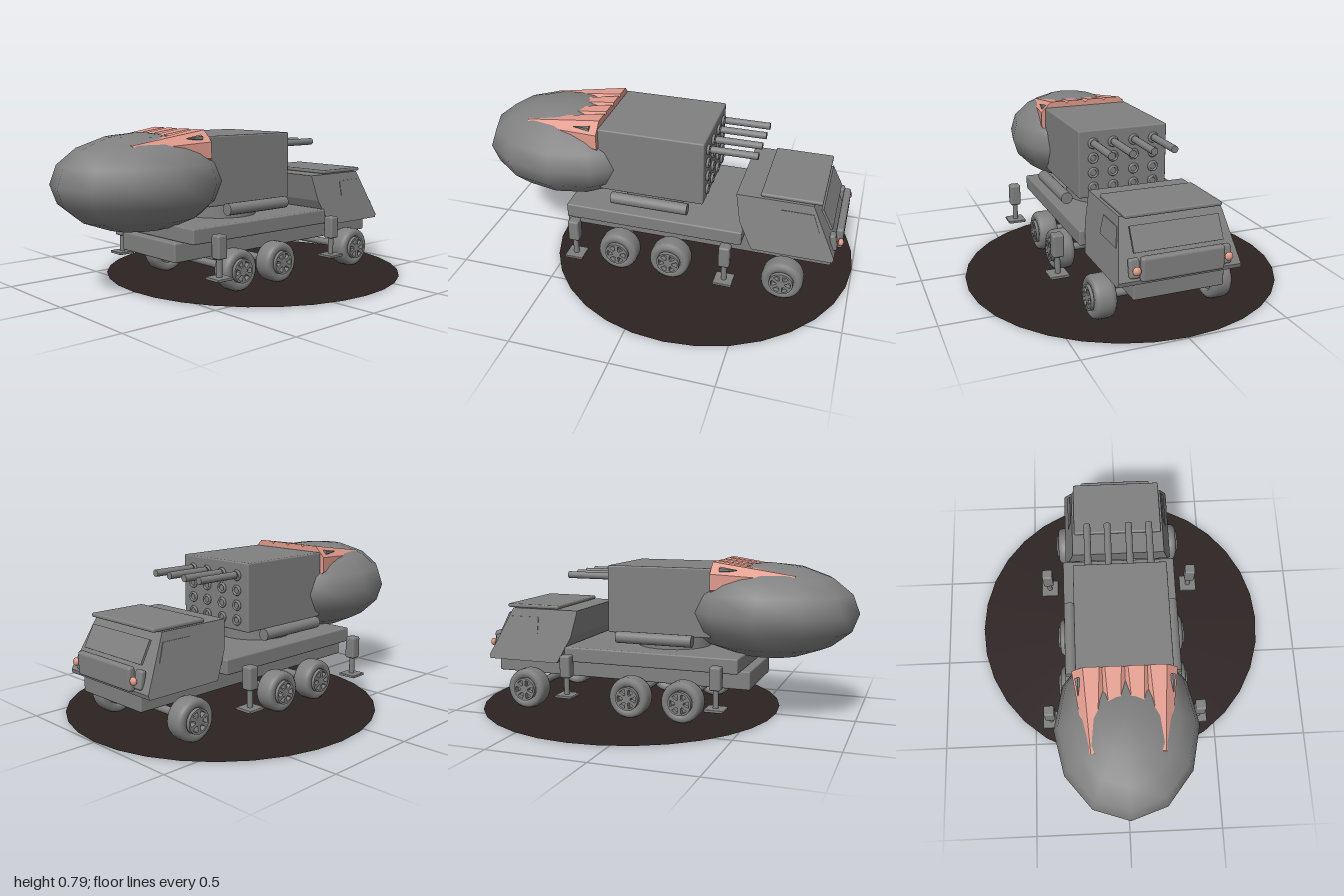
import * as THREE from 'three';
import { RoundedBoxGeometry } from 'three/addons/geometries/RoundedBoxGeometry.js';

export function createModel() {
  const model = new THREE.Group();
  const paint = new THREE.MeshStandardMaterial({ color: 0x808080 });
  paint.name = 'grey paint';
  const salmon = new THREE.MeshStandardMaterial({ color: 0xe09a8c });
  salmon.name = 'salmon';
  const ground = new THREE.MeshStandardMaterial({ color: 0x2c2222, side: THREE.DoubleSide });
  ground.name = 'dark base';

  const add = (name, geometry, material, x = 0, y = 0, z = 0, parent = model) => {
    const mesh = new THREE.Mesh(geometry, material);
    mesh.name = name;
    mesh.position.set(x, y, z);
    parent.add(mesh);
    return mesh;
  };
  // Box given by its limits in x and y and its half width in z
  const box = (name, x0, x1, y0, y1, hz, r = 0.008) =>
    add(name, new RoundedBoxGeometry(x1 - x0, y1 - y0, hz * 2, 2, r), paint, (x0 + x1) / 2, (y0 + y1) / 2, 0);
  // Cylinder lying along x, r0 at its rear end and r1 at its front end
  const tubeX = (r0, r1, length, sides = 16) =>
    new THREE.CylinderGeometry(r0, r1, length, sides).rotateY(Math.PI / sides).rotateZ(Math.PI / 2);
  const flat = (geometry) => {
    const g = geometry.toNonIndexed();
    g.computeVertexNormals();
    return g;
  };
  const polygon = (points) => new THREE.Shape(points.map(([x, y]) => new THREE.Vector2(x, y)));

  // Round base
  add('baseDisc', new THREE.CircleGeometry(0.8, 32).rotateX(-Math.PI / 2), ground, 0.2, 0.005, 0);

  // Chassis and deck
  box('chassis', -0.51, 0.895, 0.17, 0.265, 0.22);
  box('deck', -0.47, 0.455, 0.265, 0.342, 0.31);

  // Cab: side profile extruded, then narrowed towards the roof
  const cabHalf = (y) => 0.3 - (y - 0.25) * 0.2;
  const cabGeo = new THREE.ExtrudeGeometry(
    polygon([[0.505, 0.25], [0.905, 0.25], [0.91, 0.27], [0.785, 0.523], [0.408, 0.523], [0.435, 0.385]]),
    { depth: 1, bevelEnabled: false });
  const cp = cabGeo.attributes.position;
  for (let i = 0; i < cp.count; i++) cp.setZ(i, (cp.getZ(i) > 0.5 ? 1 : -1) * cabHalf(cp.getY(i)));
  cabGeo.computeVertexNormals();
  add('cab', cabGeo, paint);
  box('roofPlate', 0.525, 0.825, 0.523, 0.543, 0.235);
  const screen = add('windscreen', new THREE.BoxGeometry(0.012, 0.118, 0.43), paint, 0.852, 0.438, 0);
  screen.rotation.z = Math.atan2(0.055, 0.105);
  box('grille', 0.9, 0.938, 0.268, 0.383, 0.2, 0.015);

  for (const s of [1, -1]) {
    // Side window, leaning with the cab wall
    const windowGeo = new THREE.ExtrudeGeometry(
      polygon([[0.63, 0.395], [0.825, 0.395], [0.79, 0.48], [0.63, 0.48]]),
      { depth: 0.006, bevelEnabled: false });
    const wp = windowGeo.attributes.position;
    for (let i = 0; i < wp.count; i++) wp.setZ(i, wp.getZ(i) - 0.003 + s * cabHalf(wp.getY(i)));
    windowGeo.computeVertexNormals();
    add('sideWindow', windowGeo, paint);

    add('headlight', new THREE.SphereGeometry(0.02, 12, 8).scale(0.7, 1, 1), salmon, 0.93, 0.325, s * 0.22);
    const lamp = add('headlightHousing', new RoundedBoxGeometry(0.03, 0.09, 0.05, 2, 0.012), paint, 0.895, 0.325, s * 0.22);
    lamp.rotation.z = 0.2;

    // Side cylinder below the launcher
    add('sideCylinder', tubeX(0.03, 0.03, 0.4), paint, -0.03, 0.407, s * 0.275);

    // Outriggers
    for (const x of [-0.39, 0.395]) {
      const leg = new THREE.Group();
      leg.name = 'outrigger';
      leg.position.set(x, 0, s * 0.402);
      model.add(leg);
      add('outriggerSleeve', new RoundedBoxGeometry(0.056, 0.115, 0.056, 2, 0.01), paint, 0, 0.264, 0, leg);
      add('outriggerRod', new THREE.CylinderGeometry(0.014, 0.014, 0.1, 12), paint, 0, 0.16, 0, leg);
      add('outriggerPad', new RoundedBoxGeometry(0.095, 0.014, 0.095, 1, 0.004), paint, 0, 0.113, 0, leg);
    }
  }

  // Wheels: rounded tyre with a pierced rim standing slightly proud
  const profile = [[0.058, -0.035], [0.065, -0.05], [0.088, -0.052], [0.1, -0.042], [0.105, -0.025],
    [0.105, 0.025], [0.1, 0.042], [0.088, 0.052], [0.065, 0.05], [0.058, 0.035]];
  const tyreGeo = new THREE.LatheGeometry(profile.map(([r, y]) => new THREE.Vector2(r, y)), 28).rotateX(Math.PI / 2);
  const rimShape = new THREE.Shape().absarc(0, 0, 0.06, 0, Math.PI * 2);
  for (let i = 0; i < 6; i++) {
    const a = i * Math.PI / 3, hole = new THREE.Path();
    hole.absarc(0, 0, 0.05, a - 0.33, a + 0.33, false);
    hole.absarc(0, 0, 0.022, a + 0.2, a - 0.2, true);
    hole.closePath();
    rimShape.holes.push(hole);
  }
  const rimGeo = new THREE.ExtrudeGeometry(rimShape, { depth: 0.03, bevelEnabled: false, curveSegments: 24 });
  for (const x of [-0.19, 0.09, 0.673]) for (const s of [1, -1]) {
    const wheel = new THREE.Group();
    wheel.name = 'wheel';
    wheel.position.set(x, 0.107, s * 0.292);
    if (s < 0) wheel.rotation.y = Math.PI;
    model.add(wheel);
    add('tyre', tyreGeo, paint, 0, 0, 0, wheel);
    add('rim', rimGeo, paint, 0, 0, 0.033, wheel);
    add('hub', new THREE.CylinderGeometry(0.059, 0.059, 0.075, 24).rotateX(Math.PI / 2), paint, 0, 0, 0, wheel);
  }
  for (const x of [-0.19, 0.09, 0.673])
    add('axle', new THREE.CylinderGeometry(0.02, 0.02, 0.52, 12).rotateX(Math.PI / 2), paint, x, 0.107, 0);

  // Turntable and launcher box
  add('turntable', new THREE.CylinderGeometry(0.197, 0.197, 0.09, 32), paint, -0.048, 0.38, 0);
  box('launcherBox', -0.31, 0.238, 0.42, 0.765, 0.235);

  // Muzzles, top row rockets and rear flame cones
  for (const z of [-0.16, -0.055, 0.055, 0.16]) {
    for (const y of [0.7, 0.625, 0.55, 0.475]) {
      const muzzle = add('muzzleRing', new THREE.TorusGeometry(0.021, 0.007, 6, 16).rotateY(Math.PI / 2), paint, 0.243, y, z);
      muzzle.scale.x = 1.2;
      add('muzzle', tubeX(0.021, 0.021, 0.02), paint, 0.235, y, z);
    }
    add('rocket', tubeX(0.018, 0.018, 0.235), paint, 0.373, 0.702, z);
    add('flameCone', flat(tubeX(0.038, 0.103, 0.4, 8)), salmon, -0.51, 0.7, z);
  }
  for (const s of [1, -1])
    add('coneNub', flat(tubeX(0.002, 0.016, 0.085, 6)), paint, -0.395, 0.759, s * 0.226);

  // Smoke cloud behind the launcher
  add('smokeCloud', new THREE.SphereGeometry(1, 12, 8).scale(0.45, 0.24, 0.36), paint, -0.55, 0.545, 0);

  return model;
}
